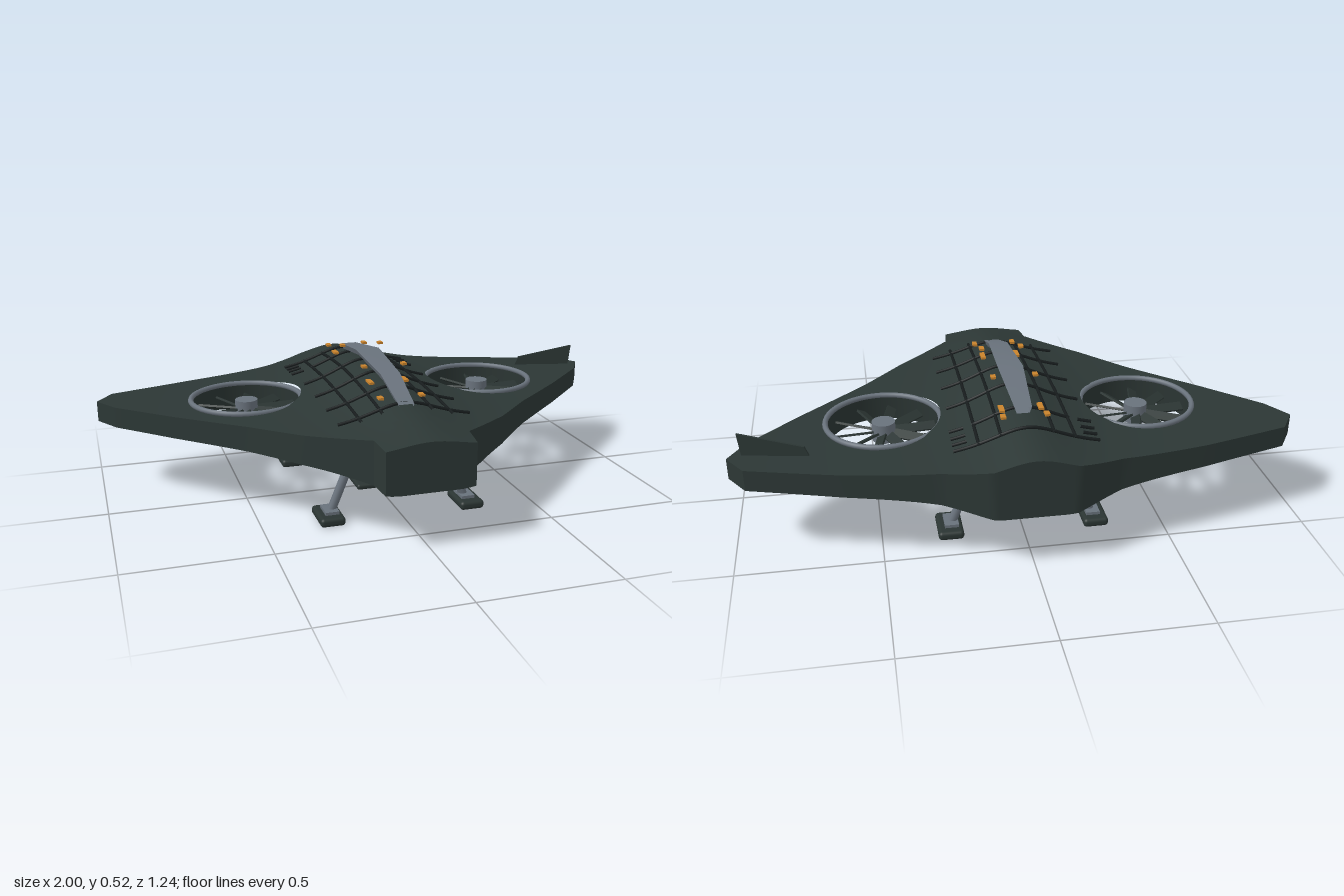
import * as THREE from 'three';
import { mergeGeometries, toCreasedNormals } from 'three/addons/utils/BufferGeometryUtils.js';
import { RoundedBoxGeometry } from 'three/addons/geometries/RoundedBoxGeometry.js';

const mat = (name, color, side = THREE.FrontSide) => {
  const m = new THREE.MeshStandardMaterial({ color, side });
  m.name = name;
  return m;
};
const hull = mat('dark hull', 0x2c3735);
const dark = mat('dark parts', 0x2a3432, THREE.DoubleSide);
const black = mat('black conduit', 0x171c1d);
const grey = mat('grey metal', 0x69727c);
const orange = mat('orange clamps', 0xc9832c);

const HUB = [0.465, -0.13], HOLE = 0.205;
// Half planform from the nose, round the wing tip, to the tail: [x, z]
const OUTLINE = [[0.166, 0.52], [0.364, 0.353], [0.52, 0.19], [0.75, -0.016], [0.94, -0.2], [1, -0.3],
  [0.94, -0.39], [0.62, -0.48], [0.305, -0.55], [0.14, -0.62], [0, -0.62]];
const NOSE = [[0, 0.615], [0.157, 0.615]];

// Height of the upper and lower skins
const ridge = (z) => 0.46 - 0.085 * Math.pow(Math.abs(z + 0.1) / 0.715, 1.7);
const topY = (x, z) => 0.33 + (ridge(z) - 0.33) / (1 + (x / 0.18) ** 2);
const bottomY = (x) => 0.26 - 0.06 / (1 + (Math.max(0, Math.abs(x) - 0.1) / 0.17) ** 2);

function grid(nu, nv, fn, flip) {
  const pos = [], idx = [];
  for (let i = 0; i <= nu; i++) for (let j = 0; j <= nv; j++) pos.push(...fn(i, j / nv));
  for (let i = 0; i < nu; i++) for (let j = 0; j < nv; j++) {
    const a = i * (nv + 1) + j, b = a + 1, c = a + nv + 1, d = c + 1;
    idx.push(...(flip ? [a, c, b, b, c, d] : [a, b, c, b, d, c]));
  }
  const g = new THREE.BufferGeometry();
  g.setAttribute('position', new THREE.Float32BufferAttribute(pos, 3));
  g.setIndex(idx);
  return g;
}

function subdivide(points, n) {
  const out = [];
  for (let i = 0; i < points.length - 1; i++) for (let k = 0; k < n; k++) {
    const t = k / n;
    out.push([0, 1].map((c) => points[i][c] * (1 - t) + points[i + 1][c] * t));
  }
  out.push(points[points.length - 1]);
  return out;
}

// Hollow wing body with a round opening in each side
function bodyGeometry() {
  const parts = [];
  const loop = subdivide([[0, 0.52], ...OUTLINE, [0, -0.4], [0, -0.13], [0, 0.15], [0, 0.52]], 8);
  const edge = subdivide([...NOSE, ...OUTLINE], 8);
  for (const s of [1, -1]) {
    for (const upper of [true, false]) {
      const point = (x, z) => [x * s, upper ? topY(x, z) : bottomY(x), z];
      const flip = (s < 0) === upper;
      parts.push(grid(loop.length - 1, 10, (i, v) => {
        const [x, z] = loop[i], a = Math.atan2(z - HUB[1], x - HUB[0]);
        const rx = HUB[0] + HOLE * Math.cos(a), rz = HUB[1] + HOLE * Math.sin(a);
        return point(rx + (x - rx) * v, rz + (z - rz) * v);
      }, flip));
      parts.push(grid(8, 2, (i, v) => point((i / 8) * (0.166 - 0.009 * v), 0.52 + 0.095 * v), flip));
    }
    parts.push(grid(edge.length - 1, 1, (i, v) => {
      const [x, z] = edge[i];
      return [x * s, v ? topY(x, z) : bottomY(x), z];
    }, s > 0));
  }
  return toCreasedNormals(mergeGeometries(parts), 0.45);
}

export function createModel() {
  const root = new THREE.Group();
  root.name = 'flyingWingDrone';
  const add = (name, geometry, material, x = 0, y = 0, z = 0, parent = root) => {
    const m = new THREE.Mesh(geometry, material);
    m.name = name;
    m.position.set(x, y, z);
    parent.add(m);
    return m;
  };
  const box = (w, h, d) => new THREE.BoxGeometry(w, h, d);

  add('body', bodyGeometry(), hull);

  // Ducted fans
  for (const s of [1, -1]) {
    const fan = new THREE.Group();
    fan.name = s > 0 ? 'leftFan' : 'rightFan';
    fan.position.set(s * HUB[0], 0, HUB[1]);
    root.add(fan);
    add('duct', new THREE.CylinderGeometry(0.2, 0.2, 0.095, 48, 1, true), dark, 0, 0.3025, 0, fan);
    const rim = add('rim', new THREE.TorusGeometry(0.205, 0.01, 8, 48), grey, 0, 0.35, 0, fan);
    rim.rotation.x = Math.PI / 2;
    add('hub', new THREE.CylinderGeometry(0.042, 0.042, 0.07, 24), grey, 0, 0.31, 0, fan);
    for (let i = 0; i < 10; i++) {
      const arm = new THREE.Group();
      arm.name = 'bladeArm';
      arm.rotation.y = (i / 10) * Math.PI * 2 + 0.1;
      fan.add(arm);
      const blade = add('blade', box(0.15, 0.008, 0.036), dark, 0.112, 0.305, 0, arm);
      blade.rotation.x = 0.5;
    }
  }

  // Arched spine plate: [z, top height, half width]
  const spine = [[0.36, 0.425, 0.028], [0.18, 0.487, 0.036], [-0.1, 0.512, 0.046], [-0.36, 0.475, 0.03]];
  const corners = [[-1, 0], [1, 0], [0.75, -0.022], [-0.75, -0.022], [-1, 0]];
  const strip = grid(3, 4, (i, v) => {
    const [z, y, w] = spine[i], [cx, cy] = corners[Math.round(v * 4)];
    return [cx * w, y + cy, z];
  }, false);
  add('spine', toCreasedNormals(strip, 0.3), mat('grey spine', 0x69727c, THREE.DoubleSide));

  // Conduits lying on the upper skin
  const conduit = (x0, z0, x1, z1) => {
    const pts = [];
    for (let i = 0; i <= 12; i++) {
      const x = x0 + (x1 - x0) * i / 12, z = z0 + (z1 - z0) * i / 12;
      pts.push(new THREE.Vector3(x, topY(x, z) + 0.004, z));
    }
    add('conduit', new THREE.TubeGeometry(new THREE.CatmullRomCurve3(pts), 24, 0.006, 6), black);
  };
  for (const x of [-0.165, -0.09, 0.09, 0.165]) conduit(x, 0.38, x, -0.45);
  for (const z of [-0.44, -0.31, -0.14, 0.03, 0.19, 0.34]) {
    const w = z < -0.4 ? 0.25 : z === -0.31 ? 0.17 : 0.24;
    conduit(-w, z, w, z);
  }
  for (const s of [1, -1]) for (const z of [-0.4, -0.36, -0.31]) conduit(s * 0.2, z, s * 0.25, z);

  // Clamps beside the spine: [x, y, z, length]
  const clamps = [[0.075, 0.463, -0.395, 0.028], [0.068, 0.452, -0.315, 0.045], [0.075, 0.512, -0.18, 0.025],
    [0.075, 0.5, 0.105, 0.028], [0.065, 0.452, 0.145, 0.05], [0.075, 0.437, 0.3, 0.03]];
  for (const s of [1, -1]) for (const [x, y, z, d] of clamps) add('clamp', box(0.018, 0.008, d), orange, s * x, y, z);

  // Single fin on the left wing
  const finShape = new THREE.Shape([[0, -0.01], [0.02, 0.035], [0.245, 0.08], [0.235, -0.01]]
    .map((p) => new THREE.Vector2(...p)));
  const fin = add('fin', new THREE.ExtrudeGeometry(finShape, { depth: 0.008, bevelEnabled: false }), hull, 0.72, 0.335, -0.33);
  fin.rotation.y = -0.2;

  // Belly rails, legs and feet
  const legGeo = new THREE.CylinderGeometry(0.016, 0.016, 1, 12);
  for (const s of [1, -1]) {
    add('bellyRail', new RoundedBoxGeometry(0.045, 0.027, 0.82, 2, 0.008), dark, s * 0.17, 0.212, -0.03);
    for (const z of [0.28, -0.34]) {
      const from = new THREE.Vector3(s * 0.178, 0.21, z), to = new THREE.Vector3(s * 0.25, 0.035, z);
      const dir = from.clone().sub(to);
      const leg = add('leg', legGeo, grey, (from.x + to.x) / 2, (from.y + to.y) / 2, z);
      leg.scale.y = dir.length();
      leg.quaternion.setFromUnitVectors(new THREE.Vector3(0, 1, 0), dir.normalize());
      add('ankle', box(0.05, 0.012, 0.08), grey, s * 0.255, 0.037, z);
      add('foot', new RoundedBoxGeometry(0.09, 0.032, 0.148, 3, 0.013), dark, s * 0.26, 0.016, z);
    }
    // Skid plates under the cargo
    add('skidPlate', new RoundedBoxGeometry(0.145, 0.02, 0.59, 3, 0.009), dark, s * 0.075, 0.1, -0.03);
  }

  // Cargo pods
  for (const z of [0.138, -0.045, -0.228])
    add('cargoPod', new RoundedBoxGeometry(0.22, 0.085, 0.153, 3, 0.012), grey, 0, 0.158, z);

  return root;
}
